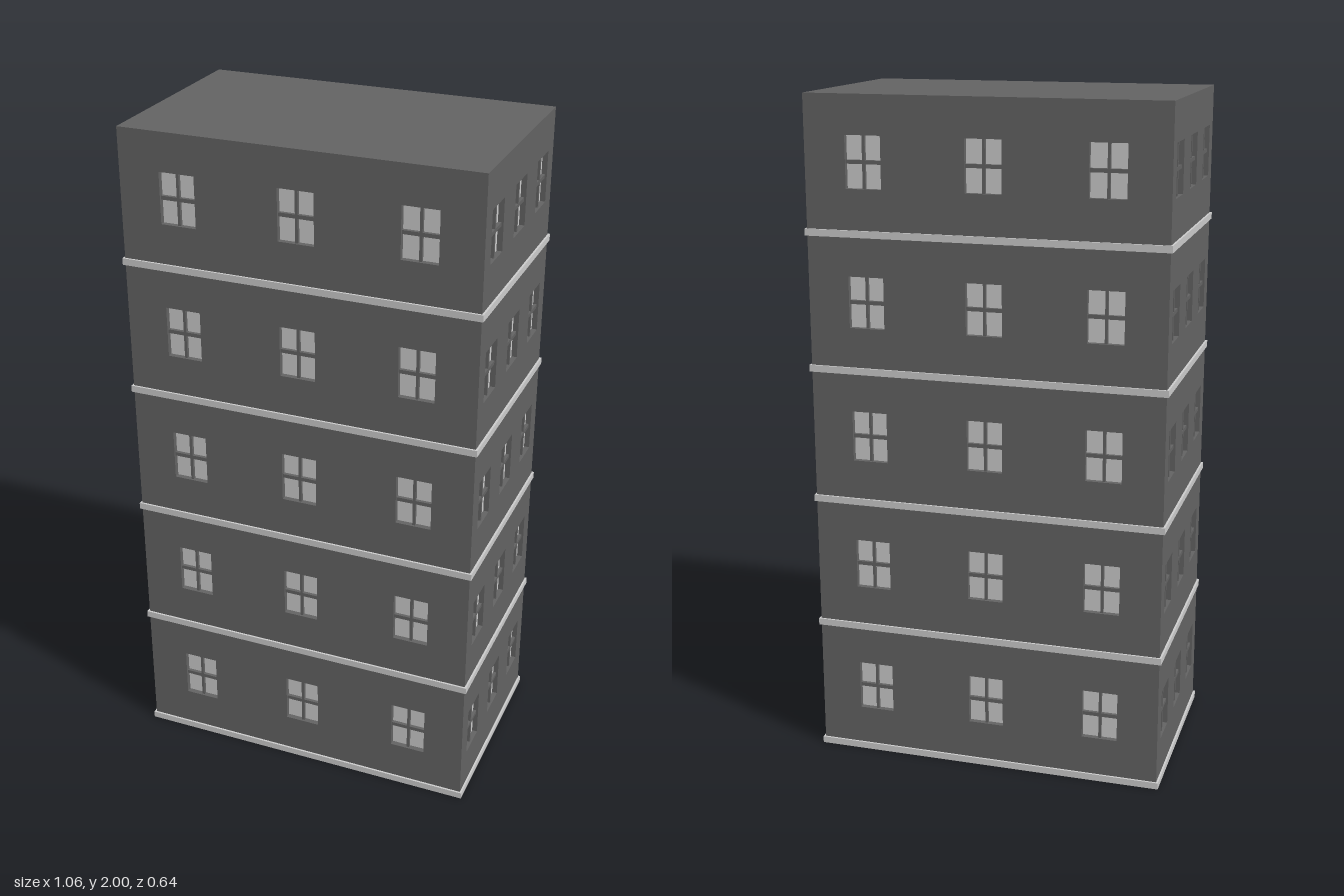
import * as THREE from 'three';

const W = 0.526, D = 0.315, H = 2, T = 0.02;   // half width, half depth, height, wall thickness
const STOREYS = 5, STOREY = 0.4;
const WIN_W = 0.106, WIN_H = 0.15, WIN_Y = 0.212;

const wallMat = new THREE.MeshStandardMaterial({ color: 0x636363 });
const trimMat = new THREE.MeshStandardMaterial({ color: 0xcccccc });

function box(name, w, h, d, x, y, z, mat) {
  const mesh = new THREE.Mesh(new THREE.BoxGeometry(w, h, d), mat);
  mesh.name = name;
  mesh.position.set(x, y, z);
  return mesh;
}

function rectPath(Type, x0, y0, x1, y1) {
  return new Type([[x0, y0], [x1, y0], [x1, y1], [x0, y1]].map(p => new THREE.Vector2(...p)));
}

function extrude(shape, depth) {
  return new THREE.ExtrudeGeometry(shape, { depth, bevelEnabled: false });
}

// Window: glass at the inner face, crossed glazing bars in front of it
function makeWindow(x, y) {
  const g = new THREE.Group();
  g.name = 'window';
  g.position.set(x, y, 0);
  g.add(
    box('glass', WIN_W, WIN_H, 0.004, 0, 0, -T + 0.002, trimMat),
    box('verticalBar', 0.008, WIN_H, 0.01, 0, 0, -0.011, wallMat),
    box('horizontalBar', WIN_W, 0.011, 0.01, 0, 0, -0.011, wallMat)
  );
  return g;
}

// Wall with window openings; outer face lies on local z = 0
function makeWall(name, half, spacing) {
  const g = new THREE.Group();
  g.name = name;
  const shape = rectPath(THREE.Shape, -half, 0, half, H);
  for (let s = 0; s < STOREYS; s++) {
    for (const k of [-1, 0, 1]) {
      const x = k * spacing, y = s * STOREY + WIN_Y;
      shape.holes.push(rectPath(THREE.Path, x - WIN_W / 2, y - WIN_H / 2, x + WIN_W / 2, y + WIN_H / 2));
      g.add(makeWindow(x, y));
    }
  }
  const wall = new THREE.Mesh(extrude(shape, T), wallMat);
  wall.name = 'wallPanel';
  wall.position.z = -T;
  g.add(wall);
  return g;
}

// Band running round the building, slightly proud of the wall on both faces
function makeBand(y) {
  const out = 0.006, inn = T + 0.005;
  const shape = rectPath(THREE.Shape, -W - out, -D - out, W + out, D + out);
  shape.holes.push(rectPath(THREE.Path, -W + inn, -D + inn, W - inn, D - inn));
  const band = new THREE.Mesh(extrude(shape, 0.02).rotateX(-Math.PI / 2), trimMat);
  band.name = 'storeyBand';
  band.position.y = y;
  return band;
}

export function createModel() {
  const model = new THREE.Group();
  model.name = 'apartmentBlock';

  // Four walls
  for (const [name, half, spacing, angle, dist] of [
    ['frontWall', W, 0.351, 0, D],
    ['leftWall', D - T, 0.21, Math.PI / 2, W],
    ['backWall', W, 0.351, Math.PI, D],
    ['rightWall', D - T, 0.21, -Math.PI / 2, W]
  ]) {
    const wall = makeWall(name, half, spacing);
    wall.rotation.y = angle;
    wall.position.set(Math.sin(angle) * dist, 0, Math.cos(angle) * dist);
    model.add(wall);
  }

  // Bands at the foot of every storey
  for (let s = 0; s < STOREYS; s++) model.add(makeBand(s * STOREY));

  // Flat roof set between the walls, shell open underneath
  model.add(box('roof', 2 * (W - T), T, 2 * (D - T), 0, H - T / 2, 0, wallMat));
  return model;
}
